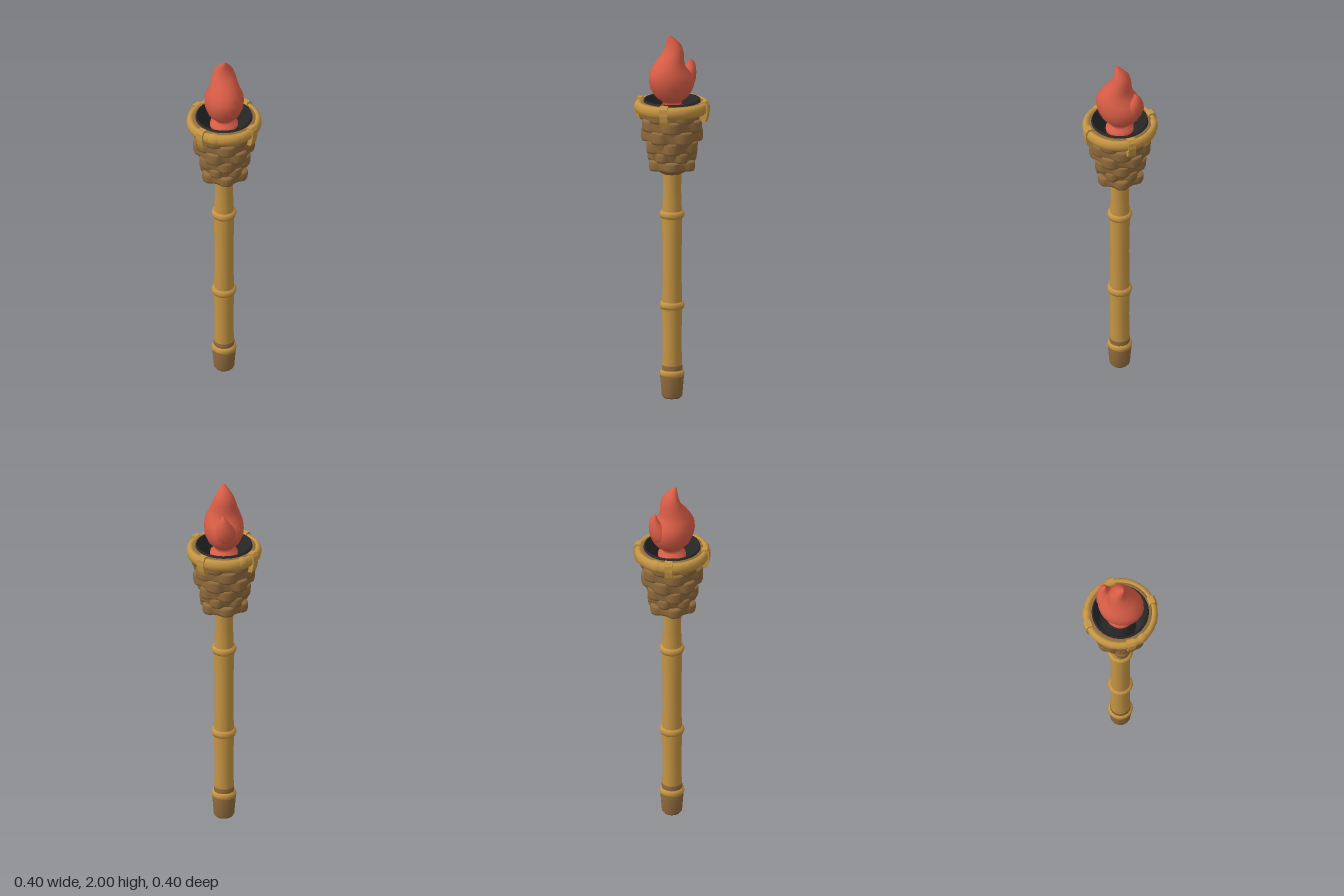
import * as THREE from 'three';

const mat = (name, color) => {
  const m = new THREE.MeshStandardMaterial({ color });
  m.name = name;
  return m;
};

export function createModel() {
  const bamboo = mat('bamboo', 0xc49443);
  const wicker = mat('wicker brown', 0x8f6a3c);
  const char = mat('charred black', 0x2a2a2a);
  const fire = mat('flame red', 0xd85d46);

  const torch = new THREE.Group();
  torch.name = 'torch';

  const add = (name, geometry, material, parent = torch) => {
    const mesh = new THREE.Mesh(geometry, material);
    mesh.name = name;
    parent.add(mesh);
    return mesh;
  };
  const lathe = (points, segments = 24) =>
    new THREE.LatheGeometry(points.map(([r, y]) => new THREE.Vector2(r, y)), segments);

  // Skin over a stack of closed rings
  const loft = (rings) => {
    const n = rings[0].length, pos = [], index = [];
    rings.forEach((ring) => ring.forEach((p) => pos.push(...p)));
    for (let i = 0; i < rings.length - 1; i++) {
      for (let j = 0; j < n; j++) {
        const k = (j + 1) % n;
        const a = i * n + j, b = (i + 1) * n + j, c = (i + 1) * n + k, d = i * n + k;
        index.push(a, b, c, a, c, d);
      }
    }
    const g = new THREE.BufferGeometry();
    g.setAttribute('position', new THREE.Float32BufferAttribute(pos, 3));
    g.setIndex(index);
    g.computeVertexNormals();
    return g;
  };
  const oval = (x, y, z, rx, rz, n = 20) => Array.from({ length: n }, (_, j) => {
    const a = (j / n) * Math.PI * 2;
    return [x + rx * Math.cos(a), y, z + rz * Math.sin(a)];
  });

  // Foot and pole
  add('foot', lathe([[0, 0.005], [0.045, 0], [0.055, 0.012], [0.064, 0.12], [0.05, 0.125]], 14), wicker);
  add('pole', lathe([[0.054, 0.11], [0.053, 0.2], [0.051, 0.34], [0.055, 0.5], [0.053, 0.56],
    [0.051, 0.76], [0.055, 1.0], [0.051, 1.07], [0.049, 1.15], [0.052, 1.27]], 16), bamboo);
  add('poleBinding', lathe([[0.0555, 0.145], [0.0555, 0.18], [0.052, 0.182]], 16), wicker);

  // Bamboo joints
  [0.135, 0.51, 1.01].forEach((y) => {
    add('joint', lathe([[0.048, y - 0.022], [0.062, y - 0.017], [0.068, y],
      [0.062, y + 0.017], [0.048, y + 0.022]], 18), bamboo);
  });

  // Basket: outer shell, brown inner edge, charred lining with a raised lip
  const basket = new THREE.Group();
  basket.name = 'basket';
  torch.add(basket);
  add('basketShell', lathe([[0.05, 1.235], [0.075, 1.25], [0.1, 1.275], [0.112, 1.33],
    [0.135, 1.41], [0.152, 1.5], [0.163, 1.61]], 32), wicker, basket);
  add('innerEdge', lathe([[0.172, 1.629], [0.166, 1.634], [0.154, 1.634]], 32), wicker, basket);
  add('lining', lathe([[0.154, 1.632], [0.15, 1.646], [0.144, 1.644], [0.138, 1.6], [0.13, 1.54],
    [0.12, 1.48], [0.1, 1.42], [0, 1.42]], 32), char, basket);

  // Woven strips bulge outward in turn, each row offset from the last
  const rows = [[1.262, 1.318, 0.119], [1.312, 1.368, 0.117], [1.36, 1.428, 0.134],
    [1.42, 1.49, 0.151], [1.482, 1.548, 0.159], [1.538, 1.595, 0.163]];
  rows.forEach(([y0, y1, r], row) => {
    const g = lathe([[r - 0.02, y0], [r, y0 + 0.002], [r + 0.004, y0 + 0.014],
      [r + 0.005, y1 - 0.014], [r + 0.001, y1 - 0.002], [r - 0.02, y1]], 72);
    const p = g.attributes.position;
    for (let i = 0; i < p.count; i++) {
      const x = p.getX(i), z = p.getZ(i), d = Math.hypot(x, z);
      if (d < r - 0.01) continue;
      const wave = Math.cos(6 * Math.atan2(x, z) + row * Math.PI);
      const s = 1 + 0.011 * Math.sign(wave) * Math.sqrt(Math.abs(wave)) / d;
      p.setXYZ(i, x * s, p.getY(i), z * s);
    }
    g.computeVertexNormals();
    add('wovenStrip', g, wicker, basket);
  });

  // Rim hoop
  const rim = new THREE.TorusGeometry(0.181, 0.021, 10, 32);
  rim.rotateX(Math.PI / 2).scale(1, 1.55, 1).translate(0, 1.604, 0);
  add('rim', rim, bamboo, basket);

  // Bindings wrapped over the rim
  const bindingShape = new THREE.Shape();
  bindingShape.moveTo(-0.012, 0).lineTo(0.01, 0).lineTo(0.02, 0.025).lineTo(0.026, 0.06)
    .lineTo(0.024, 0.095).lineTo(0.012, 0.112).lineTo(-0.012, 0.112)
    .lineTo(-0.026, 0.095).lineTo(-0.026, 0.04).closePath();
  const binding = new THREE.ExtrudeGeometry(bindingShape, { depth: 0.042, bevelEnabled: false });
  binding.translate(0, 0, -0.021);
  [0.75, Math.PI - 0.75, Math.PI + 0.75, -0.75].forEach((a) => {
    const m = add('rimBinding', binding, bamboo, basket);
    m.position.set(0.181 * Math.cos(a), 1.533, 0.181 * Math.sin(a));
    m.rotation.y = -a;
  });

  // Thickened hoop ends
  const end = new THREE.SphereGeometry(1, 14, 10).scale(0.026, 0.035, 0.045);
  [2.0, -2.0].forEach((a) => {
    const m = add('hoopEnd', end, bamboo, basket);
    m.position.set(0.179 * Math.cos(a), 1.605, 0.179 * Math.sin(a));
    m.rotation.y = -a;
  });

  // Wick inside the basket
  add('wick', lathe([[0.085, 1.41], [0.08, 1.54], [0.07, 1.59], [0, 1.6]], 16), char);

  // Flame body: y, centre z, half width, half depth
  const flame = new THREE.Group();
  flame.name = 'flame';
  torch.add(flame);
  const body = [[1.585, 0, 0.076, 0.076], [1.605, 0, 0.074, 0.074], [1.615, 0, 0.05, 0.05],
    [1.635, 0, 0.05, 0.055], [1.65, 0, 0.07, 0.08],
    [1.67, 0, 0.087, 0.099], [1.71, 0, 0.103, 0.121], [1.75, 0.003, 0.107, 0.128],
    [1.785, 0.01, 0.102, 0.119], [1.82, 0.019, 0.09, 0.092], [1.86, 0.01, 0.074, 0.073],
    [1.9, -0.008, 0.064, 0.053], [1.94, -0.01, 0.049, 0.041], [1.97, 0.002, 0.029, 0.026],
    [1.99, 0.014, 0.014, 0.013], [2.0, 0.02, 0.001, 0.001]];
  add('flameBody', loft(body.map(([y, z, rx, rz]) => oval(0, y, z, rx, rz))), fire, flame);

  // Small tongue curling up at the back: y, centre x, centre z, half width, half depth
  const tongue = [[1.67, 0, -0.05, 0.04, 0.04], [1.71, 0, -0.07, 0.06, 0.053],
    [1.75, 0.002, -0.083, 0.06, 0.054], [1.785, 0.008, -0.092, 0.049, 0.046],
    [1.81, 0.014, -0.104, 0.034, 0.03], [1.835, 0.018, -0.108, 0.022, 0.02],
    [1.853, 0.02, -0.103, 0.012, 0.011], [1.862, 0.02, -0.097, 0.001, 0.001]];
  add('flameTongue', loft(tongue.map(([y, x, z, rx, rz]) => oval(x, y, z, rx, rz, 16))), fire, flame);

  return torch;
}
